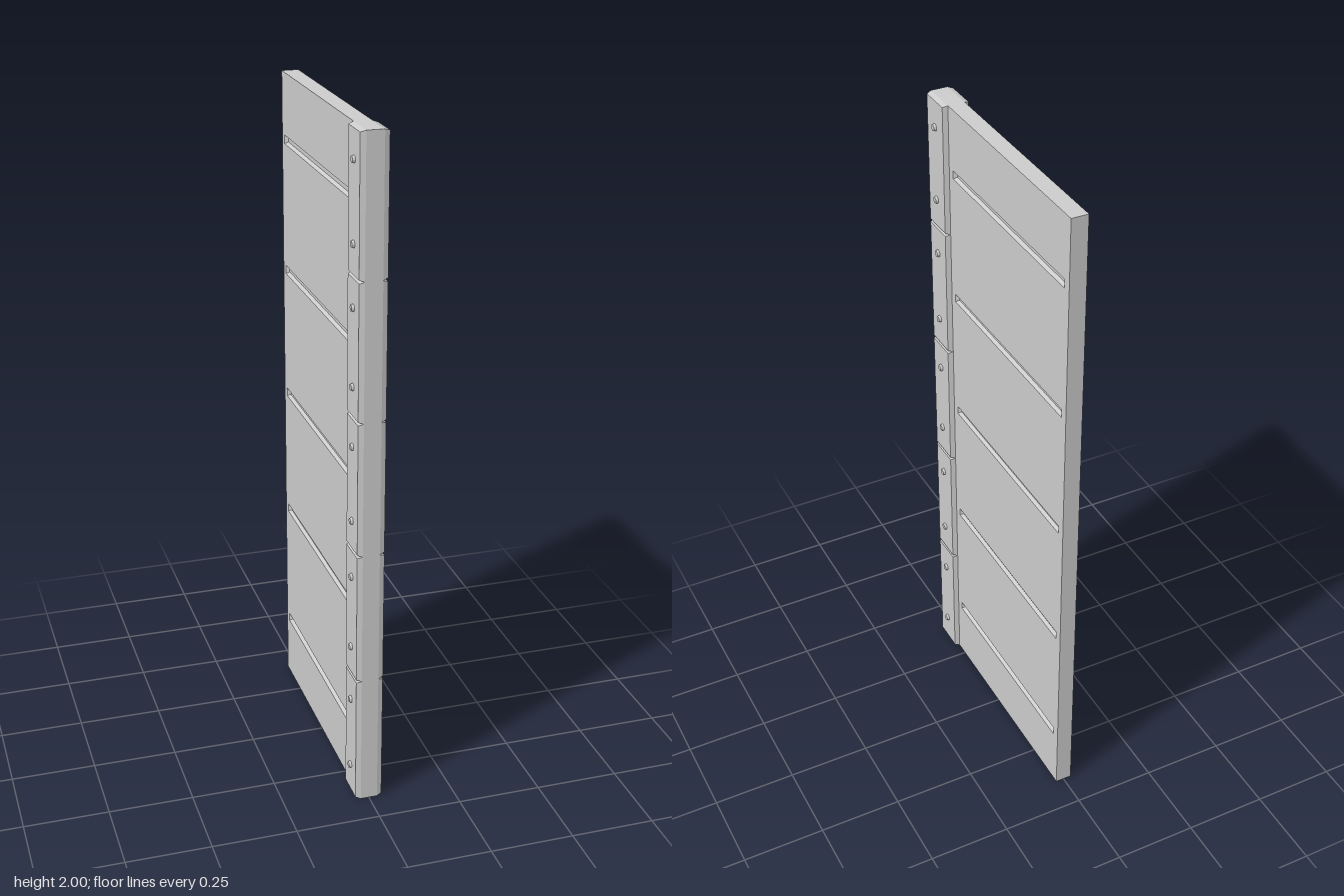
import * as THREE from 'three';

const material = new THREE.MeshStandardMaterial({ color: 0xcccccc, flatShading: true });
const HALF = 0.025;    // half thickness of the panel
const SEGMENTS = 5;
const STEP = 2 / SEGMENTS;

// Four-sided sloped block (or recess) from x0 to x1 on the side s = +1 / -1
function frustum({ y0, y1, z0, z1, x0, x1, insetY = 0, insetZ = 0, s = 1, cap = true }) {
  const ring = (x, iy, iz) => [
    [s * x, y0 + iy, z0 + iz], [s * x, y1 - iy, z0 + iz],
    [s * x, y1 - iy, z1 - iz], [s * x, y0 + iy, z1 - iz],
  ];
  const base = ring(x0, 0, 0);
  const top = ring(x1, insetY, insetZ);
  const points = [];
  const quad = (a, b, c, d) => {
    const order = s > 0 ? [a, b, c, a, c, d] : [a, c, b, a, d, c];
    order.forEach((p) => points.push(...p));
  };
  for (let i = 0; i < 4; i++) {
    const j = (i + 1) % 4;
    quad(base[i], base[j], top[j], top[i]);
  }
  if (cap) quad(...top);
  const geometry = new THREE.BufferGeometry();
  geometry.setAttribute('position', new THREE.Float32BufferAttribute(points, 3));
  geometry.computeVertexNormals();
  return geometry;
}

function rectangle(path, u0, u1, v0, v1) {
  path.moveTo(u0, v0);
  path.lineTo(u1, v0);
  path.lineTo(u1, v1);
  path.lineTo(u0, v1);
  path.closePath();
  return path;
}

export function createModel() {
  const model = new THREE.Group();
  model.name = 'panelWithEdgeTrim';
  const add = (geometry, name) => {
    const mesh = new THREE.Mesh(geometry, material);
    mesh.name = name;
    model.add(mesh);
    return mesh;
  };

  // Outer rim of the panel
  add(frustum({ y0: 0, y1: 2, z0: -0.4, z1: 0.4, x0: -HALF, x1: HALF, cap: false }), 'panelRim');

  const grooveZ = [-0.375, 0.268];
  for (const s of [1, -1]) {
    const side = s > 0 ? 'left' : 'right';

    // Panel face with slots cut out for the grooves
    const face = rectangle(new THREE.Shape(), -0.4, 0.4, 0, 2);

    for (let i = 0; i < SEGMENTS; i++) {
      const bottom = i * STEP;

      // Sunken horizontal groove
      const y0 = bottom + 0.189, y1 = bottom + 0.215;
      const u = grooveZ.map((z) => -s * z).sort((a, b) => a - b);
      face.holes.push(rectangle(new THREE.Path(), u[0], u[1], y0, y1));
      add(frustum({
        y0, y1, z0: grooveZ[0], z1: grooveZ[1], x0: HALF, x1: HALF - 0.01,
        insetY: 0.006, insetZ: 0.006, s,
      }), `${side}Groove${i + 1}`);

      // Bevelled trim plate along the front edge
      add(frustum({
        y0: bottom, y1: bottom + STEP, z0: 0.292, z1: 0.4, x0: HALF, x1: 0.04,
        insetY: 0.005, insetZ: 0.005, s,
      }), `${side}TrimPlate${i + 1}`);

      // Two rivets per plate
      for (const [k, y] of [0.09, 0.315].entries()) {
        const rivet = add(new THREE.CylinderGeometry(0.009, 0.0115, 0.009, 12), `${side}Rivet${i * 2 + k + 1}`);
        rivet.rotation.z = -s * Math.PI / 2;
        rivet.position.set(s * 0.0427, bottom + y, 0.347);
      }
    }

    const faceGeometry = new THREE.ShapeGeometry(face);
    faceGeometry.rotateY(s * Math.PI / 2);
    faceGeometry.translate(s * HALF, 0, 0);
    add(faceGeometry, `${side}PanelFace`);
  }
  return model;
}
